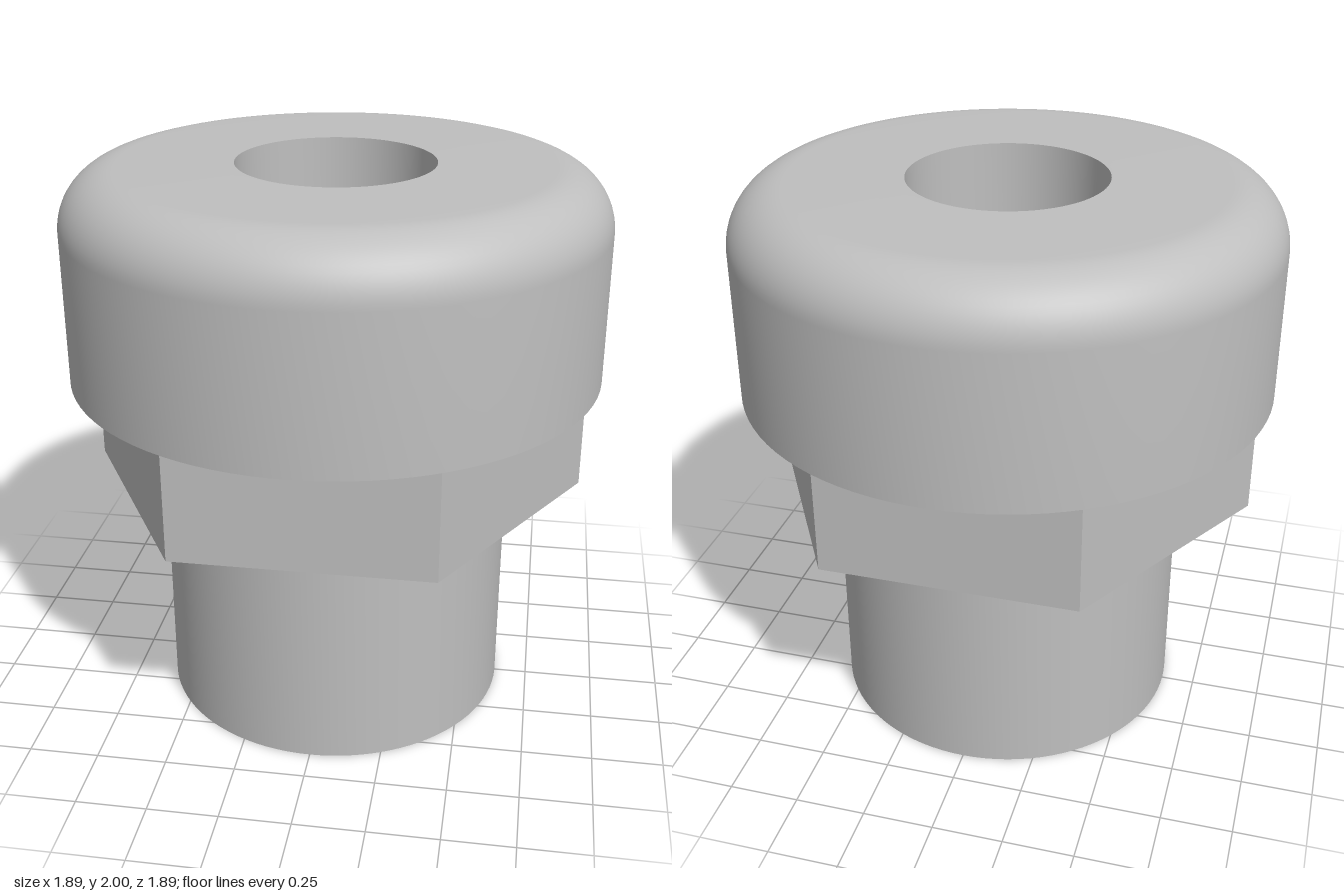
import * as THREE from 'three';
import { toCreasedNormals } from 'three/addons/utils/BufferGeometryUtils.js';

const SEGMENTS = 96;
const BORE = 0.345, SHANK = 0.63, HEX = 0.895, CAP = 0.945;
const HEX_BOTTOM = 0.845, CAP_BOTTOM = 1.265, TOP = 2, FILLET = 0.2;

export function createModel() {
  const model = new THREE.Group();
  model.name = 'hexFitting';
  const metal = new THREE.MeshStandardMaterial({ color: 0xbfbfbf });
  metal.name = 'grey metal';

  function add(name, geometry) {
    const mesh = new THREE.Mesh(geometry, metal);
    mesh.name = name;
    model.add(mesh);
  }

  // Revolved part: smooth around, sharp at the corners of its profile
  function addTurned(name, profile) {
    const points = profile.map(([r, y]) => new THREE.Vector2(r, y));
    add(name, toCreasedNormals(new THREE.LatheGeometry(points, SEGMENTS), Math.PI / 6));
  }

  // Cap: underside, wall, rounded rim, flat top
  const rim = [];
  for (let i = 0; i <= 14; i++) {
    const a = (i / 14) * Math.PI / 2;
    rim.push([CAP - FILLET + FILLET * Math.cos(a), TOP - FILLET + FILLET * Math.sin(a)]);
  }
  addTurned('cap', [[0.7, CAP_BOTTOM], [CAP, CAP_BOTTOM], ...rim, [BORE, TOP]]);

  // Shank: bottom ring and outer wall
  addTurned('shank', [[BORE, 0], [SHANK, 0], [SHANK, HEX_BOTTOM]]);

  // Bore: straight passage, facing inward
  addTurned('bore', [[BORE, TOP], [BORE, 0]]);

  // Hexagonal collar with corners on the x axis
  const hexagon = new THREE.Shape();
  for (let i = 0; i < 6; i++) {
    const a = i * Math.PI / 3;
    hexagon[i ? 'lineTo' : 'moveTo'](HEX * Math.cos(a), HEX * Math.sin(a));
  }
  hexagon.closePath();
  const opening = new THREE.Path();
  opening.absarc(0, 0, SHANK - 0.01, 0, Math.PI * 2, true);
  hexagon.holes.push(opening);
  const collar = new THREE.ExtrudeGeometry(hexagon, {
    depth: CAP_BOTTOM - HEX_BOTTOM, bevelEnabled: false, curveSegments: 48,
  });
  collar.rotateX(-Math.PI / 2).translate(0, HEX_BOTTOM, 0);
  add('hexCollar', collar);

  return model;
}
